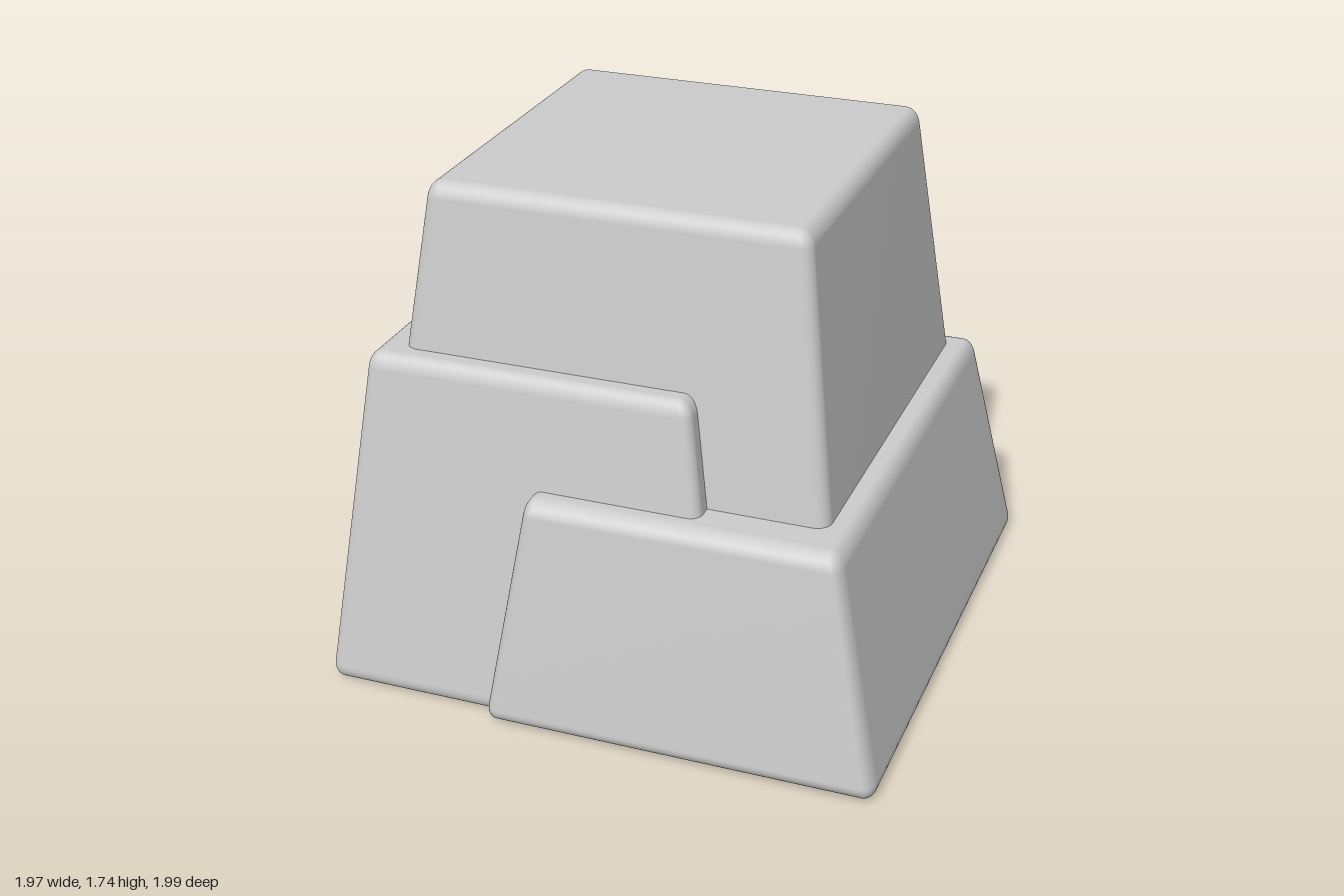
import * as THREE from 'three';
import { RoundedBoxGeometry } from 'three/addons/geometries/RoundedBoxGeometry.js';
import { mergeVertices } from 'three/addons/utils/BufferGeometryUtils.js';

// Rounded block standing on the ground, tapering from a base to a top rectangle.
// Rectangles are [xMin, xMax, zMin, zMax].
function taperedBlock(name, height, base, top, material) {
  let geo = new RoundedBoxGeometry(1.6, height, 1.6, 4, 0.055);
  geo.deleteAttribute('uv');
  geo.deleteAttribute('normal');
  geo = mergeVertices(geo, 1e-4);

  const pos = geo.attributes.position;
  const lerp = THREE.MathUtils.lerp;
  for (let i = 0; i < pos.count; i++) {
    const t = pos.getY(i) / height + 0.5;
    const [x0, x1, z0, z1] = base.map((b, k) => lerp(b, top[k], t));
    pos.setXYZ(
      i,
      lerp(x0, x1, pos.getX(i) / 1.6 + 0.5),
      t * height,
      lerp(z0, z1, pos.getZ(i) / 1.6 + 0.5)
    );
  }
  geo.computeVertexNormals();

  const mesh = new THREE.Mesh(geo, material);
  mesh.name = name;
  return mesh;
}

export function createModel() {
  const group = new THREE.Group();
  group.name = 'rockStack';
  const stone = new THREE.MeshStandardMaterial({ color: 0xcccccc });

  const blocks = [
    // tall core
    ['centreBlock', 1.74, [-0.89, 0.84, -0.89, 0.84], [-0.66, 0.615, -0.66, 0.615]],
    // corner blocks stepping down around the core
    ['backRightBlock', 1.505, [-0.995, 0.1, -1, 0.085], [-0.855, -0.02, -0.86, -0.02]],
    ['frontRightBlock', 1.18, [-0.965, 0.46, -0.4, 0.935], [-0.83, 0.28, -0.3, 0.76]],
    ['leftBlock', 0.81, [-0.365, 0.99, -0.96, 0.998], [-0.235, 0.815, -0.85, 0.895]],
  ];
  for (const [name, height, base, top] of blocks) {
    group.add(taperedBlock(name, height, base, top, stone));
  }
  return group;
}
